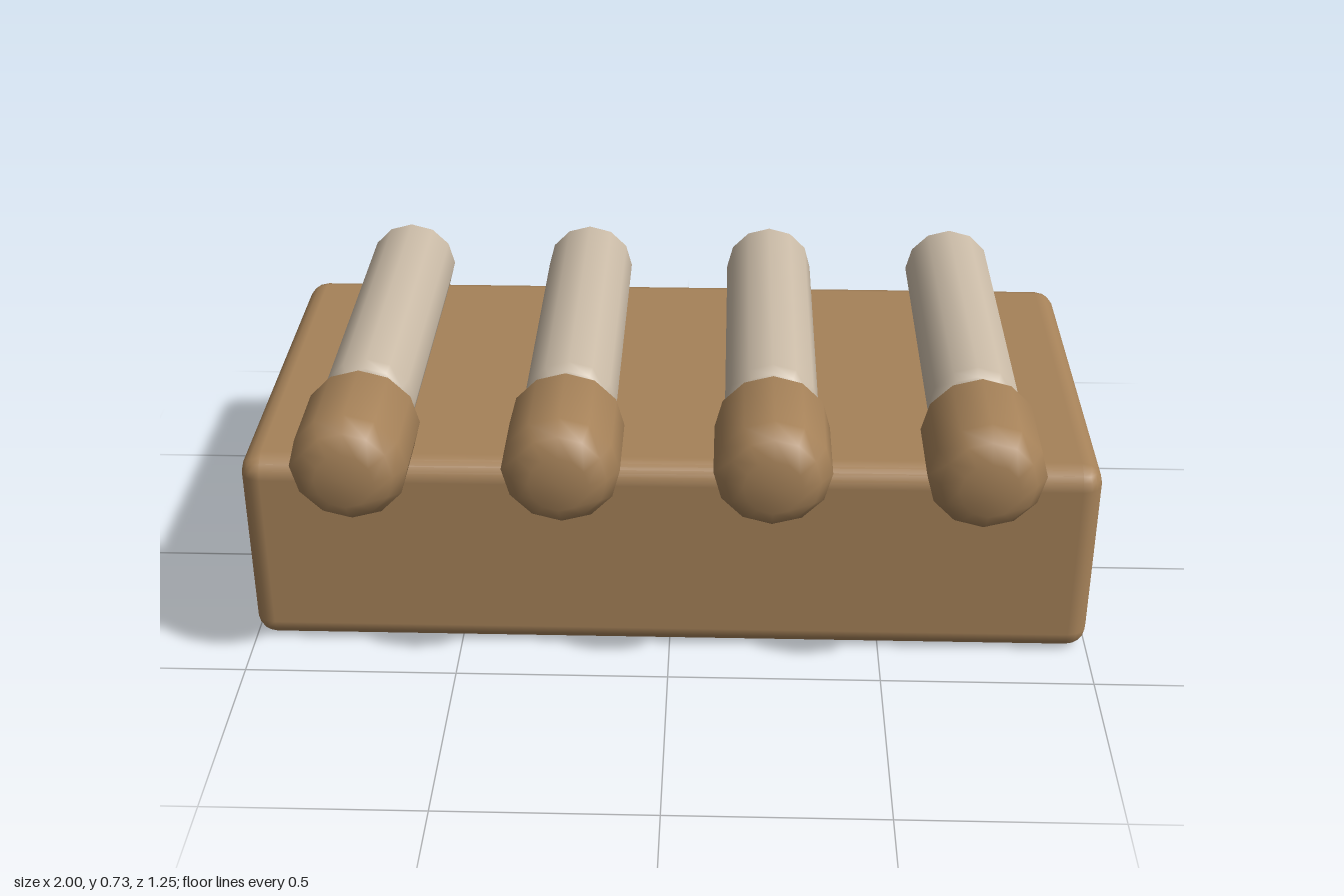
import * as THREE from 'three';
import { RoundedBoxGeometry } from 'three/addons/geometries/RoundedBoxGeometry.js';

// Twelve-sided bar along z with softened ends
function roundedBar(radius, z0, z1, bevel) {
  const k = 0.4 * bevel;
  const profile = [
    [0, z0], [radius - bevel, z0], [radius - k, z0 + k], [radius, z0 + bevel],
    [radius, z1 - bevel], [radius - k, z1 - k], [radius - bevel, z1], [0, z1],
  ].map(([r, z]) => new THREE.Vector2(r, z));
  return new THREE.LatheGeometry(profile, 12).rotateX(Math.PI / 2);
}

export function createModel() {
  const model = new THREE.Group();
  model.name = 'blockWithRods';
  const brown = new THREE.MeshStandardMaterial({ name: 'brown', color: 0xa68259 });
  const paleGrey = new THREE.MeshStandardMaterial({ name: 'paleGrey', color: 0xcbbca8 });

  const add = (name, geometry, material, x, y, z) => {
    const mesh = new THREE.Mesh(geometry, material);
    mesh.name = name;
    mesh.position.set(x, y, z);
    model.add(mesh);
  };

  // Base block, set back from the front
  add('block', new RoundedBoxGeometry(2, 0.495, 0.995, 2, 0.05), brown, 0, 0.2525, -0.125);

  // Four rods resting on the block, each with a fatter grip overhanging the front
  const rod = roundedBar(0.108, -0.54, 0.29, 0.035);
  const grip = roundedBar(0.131, 0.29, 0.625, 0.065);
  for (let i = 0; i < 4; i++) {
    const x = -0.7 + i * 0.467;
    add('rod' + (i + 1), rod, paleGrey, x, 0.603, 0);
    add('grip' + (i + 1), grip, brown, x, 0.603, 0);
  }
  return model;
}
